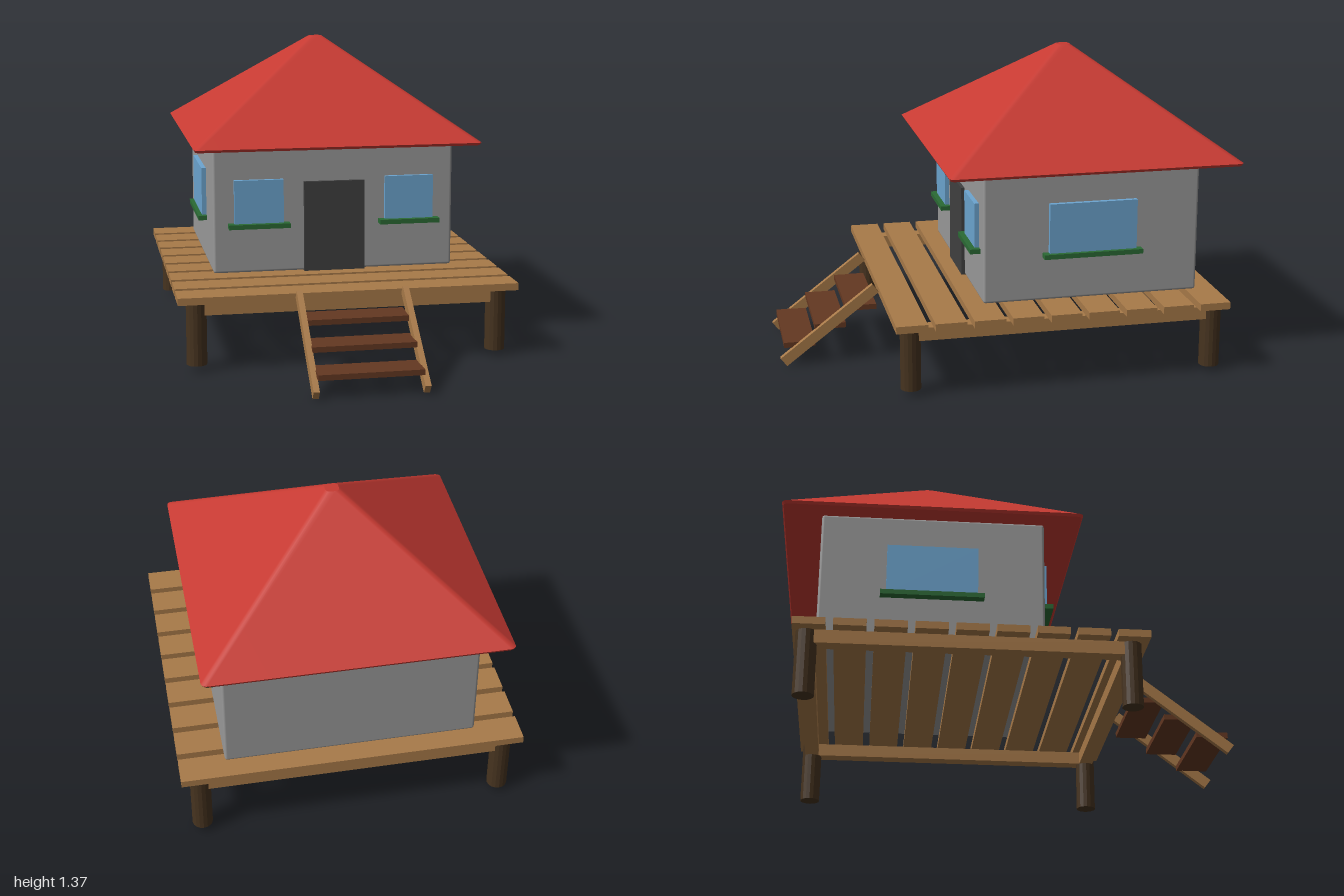
import * as THREE from 'three';
import { RoundedBoxGeometry } from 'three/addons/geometries/RoundedBoxGeometry.js';

const mat = (name, color, extra = {}) => {
  const m = new THREE.MeshStandardMaterial({ color, ...extra });
  m.name = name;
  return m;
};

// Roof: rings of a rounded square swept up to a small rounded top
function roofGeometry(rings) {
  const per = 4, n = per * 4, pos = [], idx = [];
  const addRing = ([half, y, r]) => {
    for (let c = 0; c < 4; c++) for (let k = 0; k < per; k++) {
      const a = (c + k / (per - 1)) * Math.PI / 2;
      const sx = c === 0 || c === 3 ? 1 : -1, sz = c < 2 ? 1 : -1;
      pos.push(sx * (half - r) + r * Math.cos(a), y, sz * (half - r) + r * Math.sin(a));
    }
  };
  // Each band owns its two rings, so edges between bands stay sharp
  for (let b = 0; b < rings.length - 1; b++) {
    const s = pos.length / 3;
    addRing(rings[b]);
    addRing(rings[b + 1]);
    for (let i = 0; i < n; i++) {
      const j = (i + 1) % n;
      idx.push(s + i, s + n + i, s + j, s + j, s + n + i, s + n + j);
    }
  }
  // Flat top and underside
  const top = pos.length / 3;
  addRing(rings[rings.length - 1]);
  const bottom = pos.length / 3;
  addRing(rings[0]);
  for (let i = 1; i < n - 1; i++) {
    idx.push(top, top + i + 1, top + i);
    idx.push(bottom, bottom + i, bottom + i + 1);
  }
  const g = new THREE.BufferGeometry();
  g.setAttribute('position', new THREE.Float32BufferAttribute(pos, 3));
  g.setIndex(idx);
  g.computeVertexNormals();
  return g;
}

export function createModel() {
  const model = new THREE.Group();
  model.name = 'stiltHouse';

  const wood = mat('plankWood', 0xa87a49);
  const post = mat('postWood', 0x46331f, { flatShading: true });
  const tread = mat('treadWood', 0x643821);
  const wall = mat('wallGrey', 0x9a9a9a);
  const red = mat('roofRed', 0xc63a32);
  const glass = mat('windowBlue', 0x6ca5d0);
  const green = mat('sillGreen', 0x2a6a34);
  const dark = mat('doorGrey', 0x404040);

  const add = (name, geo, material, x, y, z) => {
    const m = new THREE.Mesh(geo, material);
    m.name = name;
    m.position.set(x, y, z);
    model.add(m);
    return m;
  };
  // Box given by its min and max corners
  const box = (name, material, x0, x1, y0, y1, z0, z1) =>
    add(name, new THREE.BoxGeometry(x1 - x0, y1 - y0, z1 - z0), material,
      (x0 + x1) / 2, (y0 + y1) / 2, (z0 + z1) / 2);

  // Deck planks
  for (let i = 0; i < 9; i++) {
    const z = -0.853 + i * 0.1675;
    box('deckPlank', wood, -0.755, 0.755, 0.308, 0.34, z - 0.068, z + 0.068);
  }

  // Frame beams and posts under the deck
  const zFront = 0.483, zBack = -0.862;
  for (const s of [-1, 1]) {
    box('sideBeam', wood, s * 0.67 - 0.032, s * 0.67 + 0.032, 0.25, 0.308, zBack, zFront);
    for (const z of [zFront, zBack])
      add('post', new THREE.CylinderGeometry(0.045, 0.045, 0.28, 16), post, s * 0.67, 0.167, z);
  }
  for (const z of [zFront, zBack])
    box('crossBeam', wood, -0.638, 0.638, 0.25, 0.308, z - 0.032, z + 0.032);

  // Stairs: sloped stringers and three treads
  for (const s of [-1, 1]) {
    const m = add('stairStringer', new THREE.BoxGeometry(0.026, 0.047, 0.528), wood, s * 0.234, 0.18, 0.78);
    m.rotation.x = Math.atan2(0.32, 0.42);
  }
  for (let i = 0; i < 3; i++) {
    const y = 0.092 + i * 0.0775, z = 0.915 - i * 0.14;
    box('stairTread', tread, -0.224, 0.224, y - 0.012, y + 0.012, z - 0.07, z + 0.07);
  }

  // House body and door
  add('walls', new RoundedBoxGeometry(1.11, 0.585, 0.97, 2, 0.012), wall, 0, 0.633, -0.345);
  box('door', dark, -0.14, 0.14, 0.34, 0.755, 0.13, 0.155);

  // Windows with sills, front and sides
  for (const s of [-1, 1]) {
    const fx = s * 0.3475;
    box('frontWindow', glass, fx - 0.1125, fx + 0.1125, 0.565, 0.77, 0.13, 0.16);
    box('frontSill', green, fx - 0.14, fx + 0.14, 0.55, 0.571, 0.13, 0.185);
    const wx = s * 0.56, sx = s * 0.57;
    box('sideWindow', glass, wx - 0.016, wx + 0.016, 0.55, 0.78, -0.543, -0.15);
    box('sideSill', green, sx - 0.025, sx + 0.025, 0.537, 0.558, -0.568, -0.123);
  }

  // Hipped roof: thin eave, slope, small flat top
  add('roof', roofGeometry([
    [0.645, 0.922, 0.02],
    [0.652, 0.934, 0.022],
    [0.03, 1.376, 0.02],
  ]), red, 0, 0, -0.349);

  return model;
}
